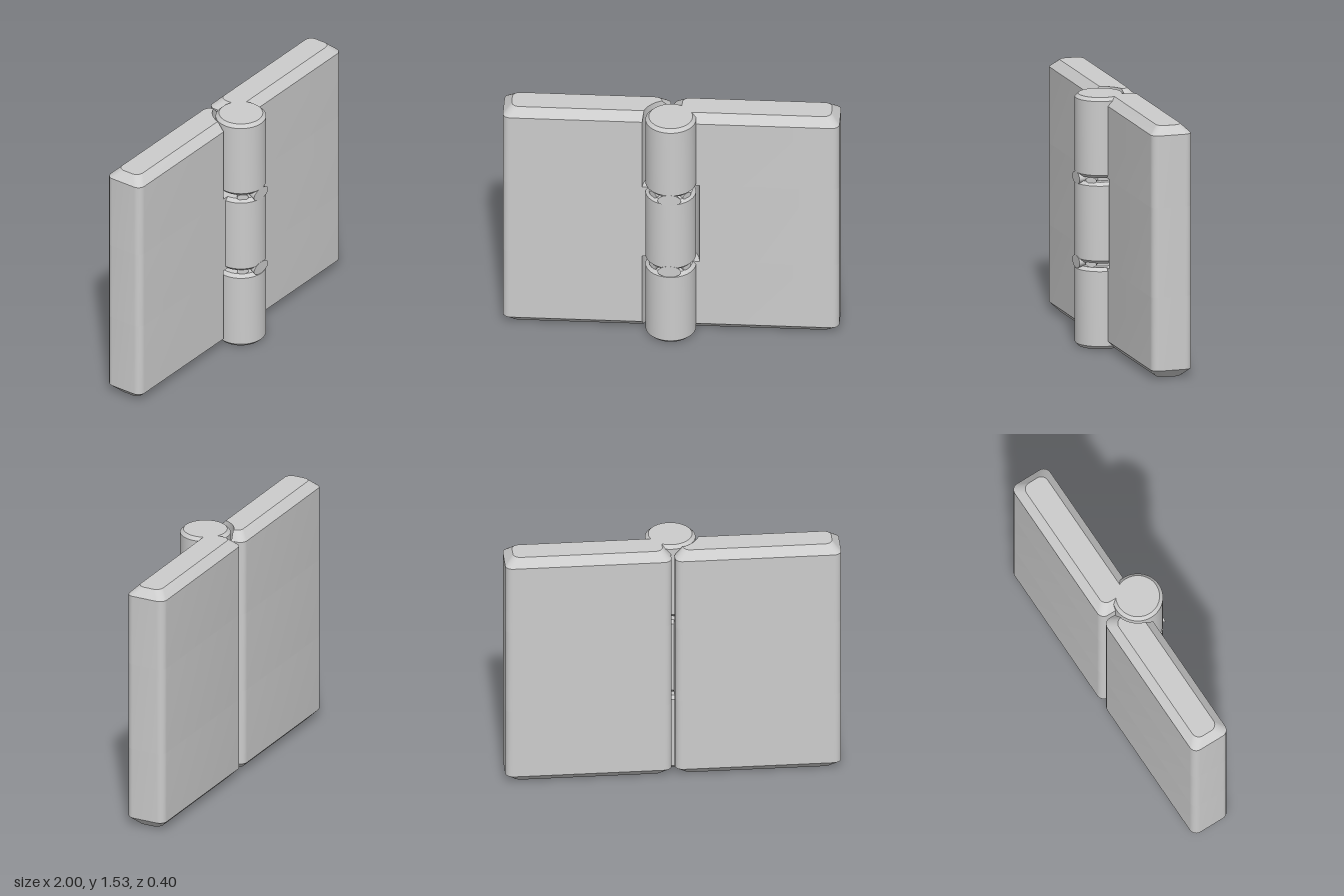
import * as THREE from 'three';
import { toCreasedNormals } from 'three/addons/utils/BufferGeometryUtils.js';

const H = 1.53, BEVEL = 0.05, FRONT = 0.05, BACK = -0.2;
const PIN_Z = 0.05, PIN_R = 0.15, CLEAR_R = 0.17;
const LOW = 0.495, MID_LOW = 0.52, MID_HIGH = 1.015, HIGH = 1.04;
const material = new THREE.MeshStandardMaterial({ color: 0xcccccc });

function addMesh(parent, name, geometry) {
  const mesh = new THREE.Mesh(geometry, material);
  mesh.name = name;
  parent.add(mesh);
  return mesh;
}

// Plan outline of a leaf (x, -z), counter-clockwise, inset on all sides,
// optionally scooped out to clear the barrel.
function outline(side, inset, scooped) {
  const x0 = 0.01 + inset, x1 = 1 - inset;
  const v0 = -FRONT + inset, v1 = -BACK - inset;
  const pts = [];
  const arc = (cx, cy, r, from, to, n) => {
    for (let i = 0; i <= n; i++) {
      const a = from + (to - from) * i / n;
      pts.push(new THREE.Vector2(cx + r * Math.cos(a), cy + r * Math.sin(a)));
    }
  };
  const r = 0.045, q = Math.PI / 2;
  if (scooped) {
    arc(0, -PIN_Z, CLEAR_R, Math.acos(x0 / CLEAR_R), Math.asin(inset / CLEAR_R), 16);
  } else {
    pts.push(new THREE.Vector2(x0, v0));
  }
  arc(x1 - r, v0 + r, r, -q, 0, 8);
  arc(x1 - r, v1 - r, r, 0, q, 8);
  arc(x0 + r, v1 - r, r, q, 2 * q, 8);
  if (side < 0) {
    pts.forEach(p => { p.x = -p.x; });
    pts.reverse();
  }
  return pts;
}

// Loft outlines through the levels [y, inset], capping the chosen ends.
function leafBlock(side, levels, scooped, capBottom, capTop) {
  const rings = levels.map(([, inset]) => outline(side, inset, scooped));
  const n = rings[0].length, pos = [], index = [];
  rings.forEach((ring, k) => ring.forEach(p => pos.push(p.x, levels[k][0], -p.y)));
  for (let k = 0; k < rings.length - 1; k++) {
    for (let i = 0; i < n; i++) {
      const a = k * n + i, b = k * n + (i + 1) % n;
      index.push(a, b, b + n, a, b + n, a + n);
    }
  }
  const cap = (k, flip) => {
    for (const [a, b, c] of THREE.ShapeUtils.triangulateShape(rings[k], [])) {
      const o = k * n;
      if (flip) index.push(o + a, o + c, o + b);
      else index.push(o + a, o + b, o + c);
    }
  };
  if (capBottom) cap(0, true);
  if (capTop) cap(rings.length - 1, false);
  const g = new THREE.BufferGeometry();
  g.setAttribute('position', new THREE.Float32BufferAttribute(pos, 3));
  g.setIndex(index);
  return toCreasedNormals(g, 0.5);
}

// A leaf is three stacked blocks; either the middle or the ends are scooped.
function makeLeaf(name, side, y1, y2, middleScooped) {
  const leaf = new THREE.Group();
  leaf.name = name;
  const ends = !middleScooped;
  addMesh(leaf, 'lowerPlate', leafBlock(side, [[0, BEVEL], [BEVEL, 0], [y1, 0]], ends, true, !ends));
  addMesh(leaf, 'middlePlate', leafBlock(side, [[y1, 0], [y2, 0]], middleScooped, ends, ends));
  addMesh(leaf, 'upperPlate', leafBlock(side, [[y2, 0], [H - BEVEL, 0], [H, BEVEL]], ends, !ends, true));
  return leaf;
}

// Barrel knuckle with chamfered rims
function knuckle(parent, name, y0, y1) {
  const c = 0.02;
  const profile = [[0, y0], [PIN_R - c, y0], [PIN_R, y0 + c], [PIN_R, y1 - c], [PIN_R - c, y1], [0, y1]]
    .map(([x, y]) => new THREE.Vector2(x, y));
  const g = toCreasedNormals(new THREE.LatheGeometry(profile, 64), 0.5);
  addMesh(parent, name, g).position.z = PIN_Z;
}

export function createModel() {
  const model = new THREE.Group();
  model.name = 'hinge';

  const left = makeLeaf('leftLeaf', 1, LOW, HIGH, true);
  knuckle(left, 'lowerKnuckle', 0, LOW);
  knuckle(left, 'upperKnuckle', HIGH, H);
  model.add(left);

  const right = makeLeaf('rightLeaf', -1, MID_LOW, MID_HIGH, false);
  knuckle(right, 'middleKnuckle', MID_LOW, MID_HIGH);
  model.add(right);

  // Pin through the barrel, seen in the two gaps
  const pin = addMesh(model, 'pin', new THREE.CylinderGeometry(0.09, 0.09, 0.7, 48));
  pin.position.set(0, (LOW + HIGH) / 2, PIN_Z);

  // Tapered tabs bridging the gaps at the front, with small ones beside them
  for (const y of [0.515, 1.025]) {
    for (const [angle, size] of [[0, 1], [-0.85, 0.5], [0.85, 0.5]]) {
      const g = new THREE.CylinderGeometry(0.07 * size, 0.035 * size, 0.07, 32);
      g.rotateX(Math.PI / 2);
      g.scale(1, 0.54, 1);
      g.translate(0, 0, size === 1 ? 0.115 : 0.1);
      g.rotateY(angle);
      addMesh(model, 'gapTab', g).position.set(0, y, PIN_Z);
    }
  }
  return model;
}
